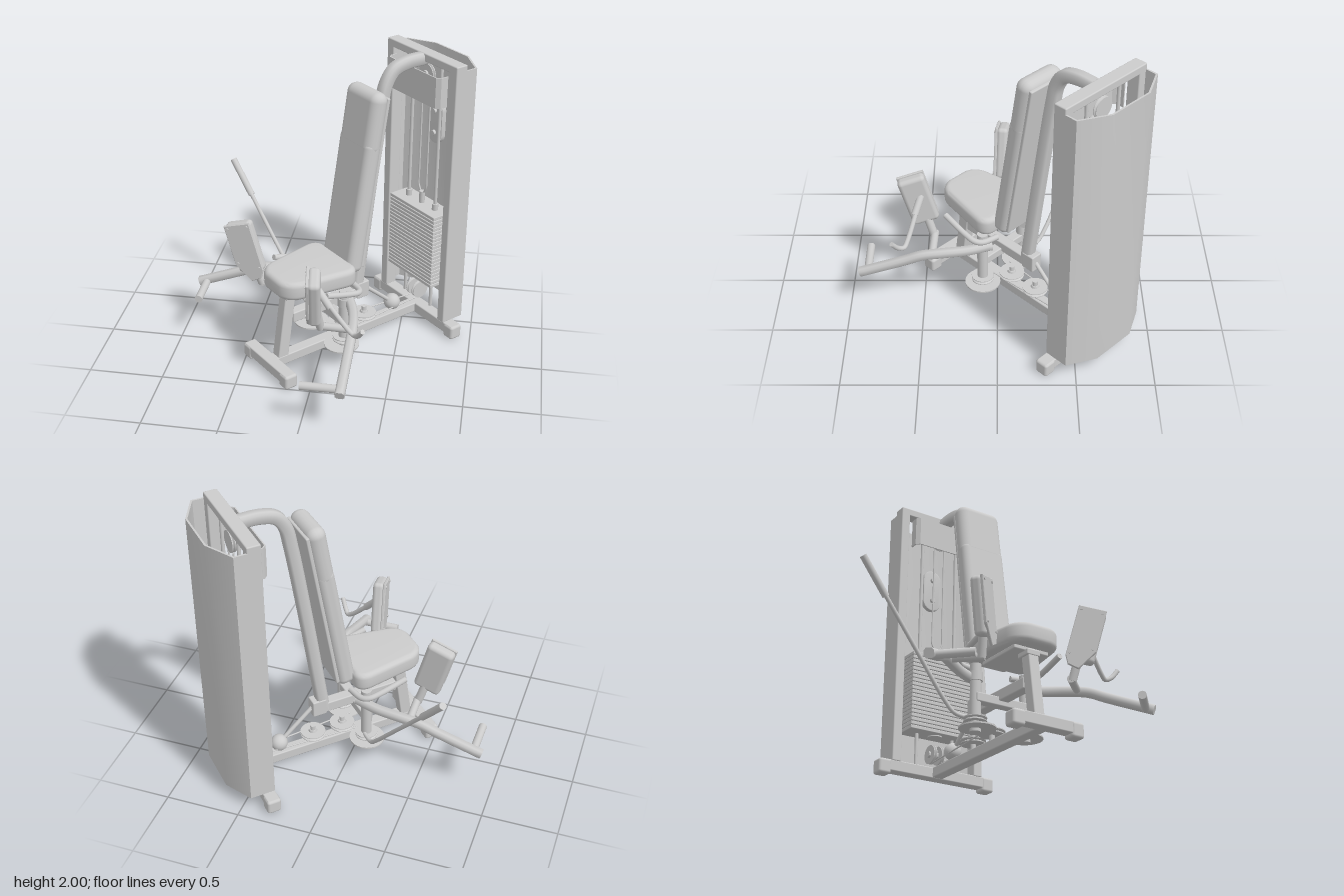
import * as THREE from 'three';
import { toCreasedNormals } from 'three/addons/utils/BufferGeometryUtils.js';
import { RoundedBoxGeometry } from 'three/addons/geometries/RoundedBoxGeometry.js';

const mat = new THREE.MeshStandardMaterial({ color: 0xcccccc });
const thin = new THREE.MeshStandardMaterial({ color: 0xcccccc, side: THREE.DoubleSide });
const V = (p) => new THREE.Vector3(...p);

function add(parent, name, geo, pos = [0, 0, 0], rot = [0, 0, 0], material = mat) {
  const m = new THREE.Mesh(geo, material);
  m.name = name;
  m.position.set(...pos);
  m.rotation.set(...rot);
  parent.add(m);
  return m;
}
const box = (parent, name, size, pos, rot, r = 0.008) =>
  add(parent, name, new RoundedBoxGeometry(...size, 3, r), pos, rot);
const cyl = (parent, name, r, h, pos, rot) =>
  add(parent, name, new THREE.CylinderGeometry(r, r, h, 24), pos, rot);

// Straight round bar between two points
function bar(parent, name, a, b, r) {
  const d = V(b).sub(V(a));
  const m = cyl(parent, name, r, d.length(), V(a).add(V(b)).multiplyScalar(0.5).toArray());
  m.quaternion.setFromUnitVectors(new THREE.Vector3(0, 1, 0), d.normalize());
}

// Bent round tube with closed ends
function tube(parent, name, pts, r) {
  const curve = new THREE.CatmullRomCurve3(pts.map(V), false, 'centripetal');
  add(parent, name, new THREE.TubeGeometry(curve, 40, r, 14), undefined, undefined, thin);
  for (const t of [0, 1]) {
    const cap = add(parent, name + 'Cap', new THREE.CircleGeometry(r, 14), curve.getPoint(t).toArray(), undefined, thin);
    cap.quaternion.setFromUnitVectors(new THREE.Vector3(0, 0, 1), curve.getTangent(t));
  }
}

// Bent tube of chamfered rectangular section; `side` fixes the roll of the section
function boxTube(parent, name, pts, w, h, side) {
  const curve = new THREE.CatmullRomCurve3(pts.map(V), false, 'centripetal');
  const a = w / 2, b = h / 2, c = 0.014, n = 36, pos = [], idx = [];
  const ring = [[a, c - b], [a, b - c], [a - c, b], [c - a, b], [-a, b - c], [-a, c - b], [c - a, -b], [a - c, -b]];
  for (let i = 0; i <= n; i++) {
    const p = curve.getPoint(i / n), t = curve.getTangent(i / n);
    const up = t.clone().cross(V(side)).normalize(), right = up.clone().cross(t);
    for (const [x, y] of ring) pos.push(...p.clone().addScaledVector(right, x).addScaledVector(up, y).toArray());
    for (let j = 0; j < 8 && i < n; j++) {
      const k = i * 8 + j, l = i * 8 + ((j + 1) % 8);
      idx.push(k, k + 8, l, l, k + 8, l + 8);
    }
  }
  for (let j = 1; j < 7; j++) idx.push(0, j, j + 1, n * 8, n * 8 + j + 1, n * 8 + j);
  const geo = new THREE.BufferGeometry();
  geo.setAttribute('position', new THREE.Float32BufferAttribute(pos, 3));
  geo.setIndex(idx);
  add(parent, name, toCreasedNormals(geo, 0.9), undefined, undefined, thin);
}

// Grooved wheel turned about y
function pulley(parent, name, r, h, pos, rot) {
  const p = [[0, -h], [r, -h], [r, -h * 0.6], [r * 0.82, 0], [r, h * 0.6], [r, h], [r * 0.35, h], [r * 0.3, h * 2], [0, h * 2]];
  const geo = new THREE.LatheGeometry(p.map(([x, y]) => new THREE.Vector2(x, y)), 28);
  add(parent, name, toCreasedNormals(geo, 0.5), pos, rot);
}

// Thin upright shell: outline of [x, z, inward x, inward z]
function shell(parent, name, outline, t, y0, y1) {
  const inner = outline.map(([x, z, dx, dz]) => [x + dx * t, z + dz * t]).reverse();
  const shape = new THREE.Shape([...outline, ...inner].map(([x, z]) => new THREE.Vector2(x, -z)));
  const geo = new THREE.ExtrudeGeometry(shape, { depth: y1 - y0, bevelEnabled: false });
  geo.rotateX(-Math.PI / 2);
  add(parent, name, toCreasedNormals(geo, 0.75), [0, y0, 0], undefined, thin);
}

function buildFrame(f) {
  // Base: feet, end caps and spine
  for (const [name, half, z] of [['frontFoot', 0.25, 0.43], ['towerFoot', 0.435, -0.835]]) {
    box(f, name, [half * 2, 0.075, 0.085], [0, 0.0625, z]);
    for (const s of [-1, 1]) box(f, name + 'Cap', [0.09, 0.1, 0.095], [s * (half - 0.035), 0.05, z], undefined, 0.018);
  }
  box(f, 'spine', [0.08, 0.07, 1.24], [0, 0.065, -0.2]);

  // Tower frame, rear shroud and pulley cover
  for (const s of [-1, 1]) {
    box(f, 'towerPost', [0.065, 1.87, 0.09], [s * 0.3175, 1.03, -0.835]);
    cyl(f, 'guideRod', 0.012, 1.83, [s * 0.14, 1.03, -0.85]);
    cyl(f, 'guideRodBushing', 0.022, 0.05, [s * 0.14, 0.91, -0.85]);
  }
  box(f, 'towerTop', [0.7, 0.055, 0.09], [0, 1.9725, -0.835]);
  shell(f, 'rearShroud', [[-0.35, -0.85, 1, 0], [-0.35, -0.96, 1, 0.6], [-0.16, -1.06, 0.3, 1],
    [0.16, -1.06, -0.3, 1], [0.35, -0.96, -1, 0.6], [0.35, -0.85, -1, 0]], 0.012, 0.1, 1.96);
  shell(f, 'pulleyCover', [[-0.26, -0.8, 1, 0], [-0.26, -0.745, 1, -0.5], [-0.235, -0.72, 0.5, -1],
    [0.235, -0.72, -0.5, -1], [0.26, -0.745, -1, -0.5], [0.26, -0.8, -1, 0]], 0.008, 1.7, 1.91);

  // Weight stack with selector yoke and pulley blocks
  for (let i = 0; i < 20; i++) box(f, 'weightPlate', [0.47, 0.0245, 0.17], [0, 0.345 + i * 0.028, -0.845], undefined, 0.004);
  cyl(f, 'stackCore', 0.05, 0.55, [0, 0.6, -0.845]);
  cyl(f, 'selectorStem', 0.02, 0.09, [0, 0.93, -0.85]);
  for (const s of [-1, 1])
    tube(f, 'liftCable', [[s * 0.01, 0.96, -0.85], [s * 0.04, 1.02, -0.85], [s * 0.04, 1.1, -0.85], [s * 0.04, 1.78, -0.85]], 0.006);
  pulley(f, 'topPulley', 0.07, 0.012, [0, 1.84, -0.85], [Math.PI / 2, 0, 0]);
  const block = new THREE.Shape();
  block.absarc(0, 0.085, 0.066, 0, Math.PI).absarc(0, -0.085, 0.066, Math.PI, Math.PI * 2);
  add(f, 'cableBlock', toCreasedNormals(new THREE.ExtrudeGeometry(block, { depth: 0.025, bevelSize: 0.006, bevelThickness: 0.006, bevelSegments: 2 }), 0.7), [0, 1.475, -0.965]);
  for (const y of [-0.08, 0.08]) cyl(f, 'cableBlockBolt', 0.018, 0.03, [0, 1.475 + y, -0.93], [Math.PI / 2, 0, 0]);
  for (const s of [-1, 1]) pulley(f, 'lowerPulley', 0.065, 0.012, [s * 0.03, 0.2, -0.84], [0, 0, Math.PI / 2]);

  // Seat
  const seat = new THREE.Shape();
  seat.moveTo(-0.16, 0.1).lineTo(0.16, 0.1);
  seat.quadraticCurveTo(0.21, 0.1, 0.205, 0.04).lineTo(0.15, -0.28);
  seat.quadraticCurveTo(0.135, -0.35, 0.07, -0.365).lineTo(-0.07, -0.365);
  seat.quadraticCurveTo(-0.135, -0.35, -0.15, -0.28).lineTo(-0.205, 0.04);
  seat.quadraticCurveTo(-0.21, 0.1, -0.16, 0.1);
  const seatGeo = new THREE.ExtrudeGeometry(seat, { depth: 0.06, bevelSize: 0.035, bevelThickness: 0.035, bevelSegments: 5, curveSegments: 8 });
  seatGeo.rotateX(-Math.PI / 2);
  add(f, 'seat', toCreasedNormals(seatGeo, 0.8), [0, 0.625, 0]);
  box(f, 'seatPlate', [0.26, 0.03, 0.36], [0, 0.58, 0.12]);

  // Backrest pads and backing plate, leaning back
  const back = new THREE.Group();
  back.name = 'backrest';
  back.position.set(0, 1.24, -0.265);
  back.rotation.x = -0.16;
  f.add(back);
  box(back, 'backPad', [0.325, 0.93, 0.12], [0, -0.16, 0.005], undefined, 0.045);
  box(back, 'headPad', [0.33, 0.42, 0.126], [0, 0.415, 0.003], undefined, 0.06);
  box(back, 'backPlate', [0.29, 1.18, 0.025], [0, 0, -0.06]);

  // Main post, front post and beams
  boxTube(f, 'backPost', [[0, 1.955, -0.82], [0, 1.955, -0.66], [0, 1.925, -0.56], [0, 1.84, -0.5],
    [0, 1.7, -0.47], [0, 1.2, -0.395], [0, 0.35, -0.28]], 0.076, 0.082, [1, 0, 0]);
  box(f, 'frontPost', [0.075, 0.5, 0.08], [0, 0.33, 0.31], [-0.14, 0, 0]);
  box(f, 'frontPostHead', [0.1, 0.04, 0.11], [0, 0.555, 0.27]);
  box(f, 'seatBeam', [0.075, 0.075, 0.58], [0, 0.37, -0.03]);
  box(f, 'backPostBracket', [0.085, 0.12, 0.1], [0, 0.385, -0.32]);
  box(f, 'crossBeam', [0.4, 0.06, 0.07], [0, 0.33, -0.04]);
  bar(f, 'damperRod', [0, 0.4, -0.34], [0, 0.17, -0.6], 0.014);
  add(f, 'damperBall', new THREE.SphereGeometry(0.058, 24, 16), [0, 0.165, -0.61]);

  // Cable pulleys along the spine
  for (const z of [-0.14, -0.36]) {
    pulley(f, 'spinePulley', 0.085, 0.014, [0, 0.16, z]);
    cyl(f, 'spinePulleyAxle', 0.018, 0.12, [0, 0.16, z]);
  }
  for (const s of [-1, 1]) bar(f, 'driveCable', [s * 0.08, 0.15, -0.04], [s * 0.03, 0.14, -0.8], 0.005);
}

// One swinging leg arm with its pivot, pad, foot peg and grab handle
function buildArm(g) {
  cyl(g, 'pivotColumn', 0.036, 0.45, [-0.1, 0.33, -0.165]);
  cyl(g, 'pivotHub', 0.045, 0.06, [-0.1, 0.47, -0.165]);
  pulley(g, 'pivotPulley', 0.075, 0.014, [-0.1, 0.185, -0.165]);
  cyl(g, 'camPlate', 0.12, 0.01, [-0.1, 0.13, -0.15]);
  boxTube(g, 'legArm', [[-0.04, 0.47, -0.18], [-0.2, 0.47, -0.235], [-0.36, 0.47, -0.262], [-0.5, 0.455, -0.268],
    [-0.62, 0.41, -0.266], [-0.92, 0.305, -0.258]], 0.062, 0.06, [0, 0, 1]);
  bar(g, 'footPeg', [-0.865, 0.315, -0.25], [-0.865, 0.315, 0], 0.027);
  bar(g, 'padStub', [-0.43, 0.47, -0.25], [-0.42, 0.47, -0.04], 0.026);
  bar(g, 'padBracket', [-0.425, 0.46, -0.06], [-0.475, 0.62, -0.04], 0.028);
  const pad = new THREE.Group();
  pad.name = 'legPad';
  pad.position.set(-0.525, 0.75, -0.03);
  pad.rotation.set(0, -0.13, 0.27);
  g.add(pad);
  box(pad, 'padCushion', [0.185, 0.37, 0.078], [0, 0, -0.008], undefined, 0.028);
  const plate = new THREE.Shape([[-0.088, 0.18], [-0.088, -0.11], [-0.01, -0.24], [0.06, -0.225], [0.088, -0.17], [0.088, 0.18]].map((p) => new THREE.Vector2(...p)));
  add(pad, 'padBacking', new THREE.ExtrudeGeometry(plate, { depth: 0.012, bevelSize: 0.004, bevelThickness: 0.004, bevelSegments: 1 }), [0, 0, 0.028]);
  for (const [x, y] of [[-0.07, 0.16], [0.07, 0.16], [-0.07, -0.1], [0.07, -0.15]])
    cyl(pad, 'padBolt', 0.009, 0.01, [x, y, 0.046], [Math.PI / 2, 0, 0]);
  tube(g, 'grabHandle', [[0.0, 0.56, -0.2], [-0.1, 0.565, -0.265], [-0.15, 0.575, -0.265], [-0.21, 0.595, -0.22], [-0.345, 0.65, -0.085]], 0.02);
}

// Bakes a mirrored copy across the machine's diagonal centre plane
function mirrored(src, name) {
  const flip = new THREE.Matrix4().set(0, 0, -1, 0, 0, 1, 0, 0, -1, 0, 0, 0, 0, 0, 0, 1);
  const out = new THREE.Group();
  out.name = name;
  src.updateMatrixWorld(true);
  src.traverse((m) => {
    if (!m.isMesh) return;
    const geo = m.geometry.index ? m.geometry.toNonIndexed() : m.geometry.clone();
    geo.applyMatrix4(flip.clone().multiply(m.matrixWorld));
    for (const key of ['position', 'normal']) {
      const a = geo.attributes[key], p = new THREE.Vector3(), q = new THREE.Vector3();
      for (let i = 0; i < a.count; i += 3) {
        p.fromBufferAttribute(a, i + 1);
        q.fromBufferAttribute(a, i + 2);
        a.setXYZ(i + 1, q.x, q.y, q.z).setXYZ(i + 2, p.x, p.y, p.z);
      }
    }
    add(out, m.name, geo, undefined, undefined, m.material);
  });
  return out;
}

export function createModel() {
  const root = new THREE.Group();
  root.name = 'legMachine';
  const frame = new THREE.Group();
  frame.name = 'frame';
  frame.rotation.y = -Math.PI / 4;
  buildFrame(frame);
  const rightArm = new THREE.Group();
  rightArm.name = 'rightArm';
  buildArm(rightArm);
  root.add(frame, rightArm, mirrored(rightArm, 'leftArm'));

  // Long adjustment lever on one side, hooked handle on the other
  tube(root, 'adjustLever', [[-0.1, 0.2, -0.2], [-0.17, 0.215, -0.28], [-0.22, 0.28, -0.33], [-0.4, 0.535, -0.463], [-0.62, 0.85, -0.626]], 0.014);
  bar(root, 'leverGrip', [-0.61, 0.835, -0.62], [-0.76, 1.05, -0.73], 0.023);
  tube(root, 'padHandle', [[0.04, 0.81, 0.49], [0.12, 0.72, 0.53], [0.26, 0.575, 0.59], [0.3, 0.55, 0.61], [0.33, 0.57, 0.645], [0.365, 0.63, 0.685]], 0.016);
  bar(root, 'padHandleGrip', [0.05, 0.8, 0.5], [0.14, 0.695, 0.545], 0.024);
  return root;
}
